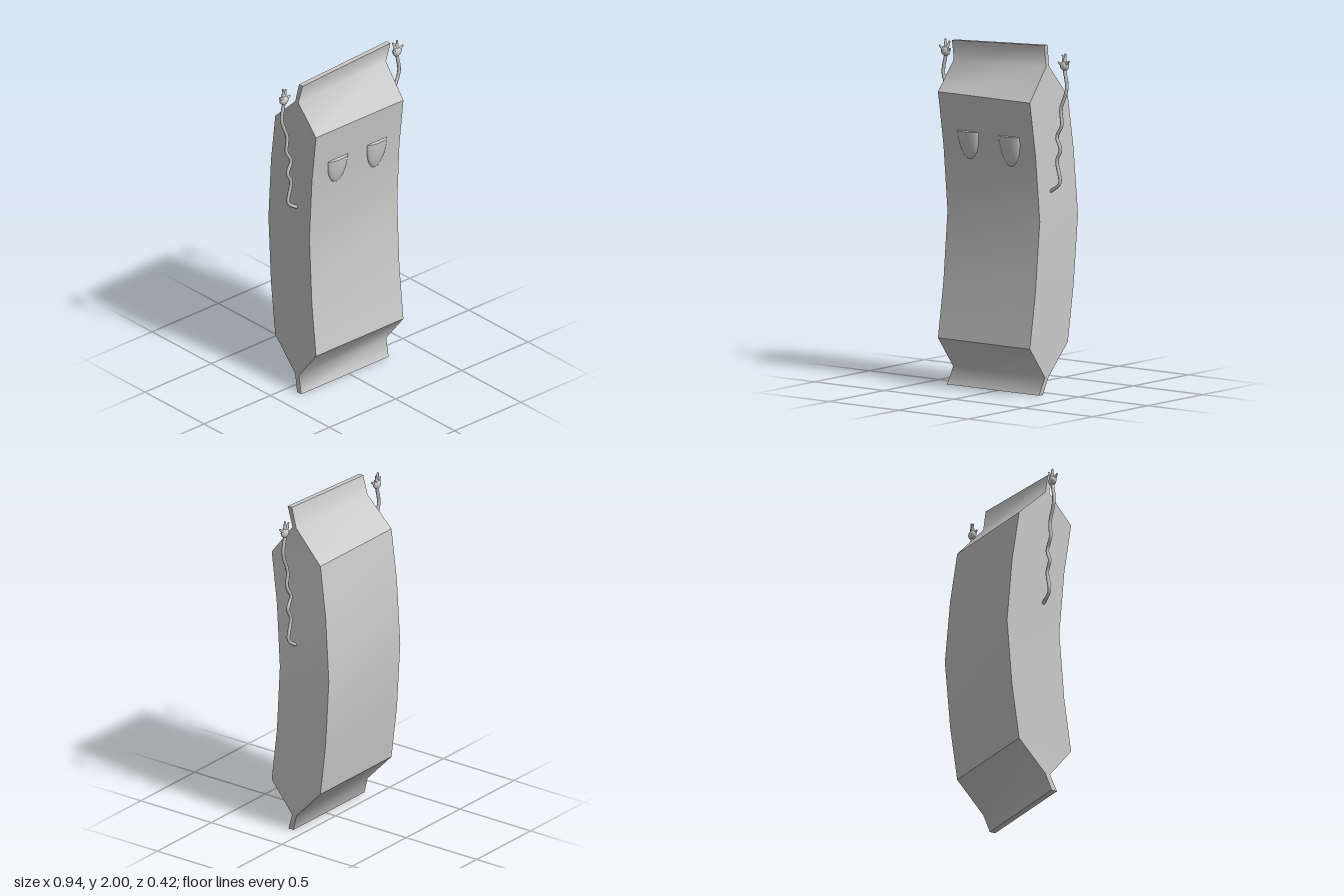
import * as THREE from 'three';

const mat = new THREE.MeshStandardMaterial({ color: 0xcccccc });

function add(parent, name, geo) {
  const mesh = new THREE.Mesh(geo, mat);
  mesh.name = name;
  parent.add(mesh);
  return mesh;
}

// Cross-sections, bottom to top: y at -x, y at +x, x left, x right, z front, z back
const ROWS = [
  [0, 0, -0.36, 0.3, 0.105, 0.07],
  [0.1, 0.1, -0.345, 0.315, 0.068, 0.037],
  [0.28, 0.28, -0.342, 0.318, 0.21, -0.135],
  [0.6, 0.6, -0.336, 0.325, 0.168, -0.178],
  [1, 1, -0.329, 0.334, 0.14, -0.207],
  [1.38, 1.38, -0.336, 0.325, 0.168, -0.178],
  [1.685, 1.685, -0.342, 0.318, 0.21, -0.135],
  [1.85, 1.875, -0.345, 0.318, 0.063, 0.037],
  [1.965, 2, -0.336, 0.327, 0.09, 0.06],
];
const FL = (r) => [r[2], r[0], r[4]];
const FR = (r) => [r[3], r[1], r[4]];
const BL = (r) => [r[2], r[0], r[5]];
const BR = (r) => [r[3], r[1], r[5]];

// Smooth ribbon through pairs of points, creased only at its borders
function ribbon(pairs) {
  const index = [];
  for (let i = 0; i < pairs.length - 1; i++) {
    const k = i * 2;
    index.push(k, k + 1, k + 3, k, k + 3, k + 2);
  }
  const geo = new THREE.BufferGeometry();
  geo.setAttribute('position', new THREE.Float32BufferAttribute(pairs.flat(2), 3));
  geo.setIndex(index);
  geo.computeVertexNormals();
  return geo;
}

function makeBody() {
  const body = new THREE.Group();
  body.name = 'packetBody';
  // lower seal, main panel and upper seal, front and back
  [['lowerSeal', 0, 2], ['panel', 2, 6], ['upperSeal', 6, 8]].forEach(([name, a, b]) => {
    const rows = ROWS.slice(a, b + 1);
    add(body, name + 'Front', ribbon(rows.map((r) => [FL(r), FR(r)])));
    add(body, name + 'Back', ribbon(rows.map((r) => [BR(r), BL(r)])));
  });
  add(body, 'leftSide', ribbon(ROWS.map((r) => [FR(r), BR(r)])));
  add(body, 'rightSide', ribbon(ROWS.map((r) => [BL(r), FL(r)])));
  const top = ROWS[ROWS.length - 1], base = ROWS[0];
  add(body, 'topEdge', ribbon([[FL(top), FR(top)], [BL(top), BR(top)]]));
  add(body, 'bottomEdge', ribbon([[BL(base), BR(base)], [FL(base), FR(base)]]));
  return body;
}

// Half-lidded eye: lower half of a flattened dome with a flat top
function makeEye(name, x, height) {
  const eye = new THREE.Group();
  eye.name = name;
  add(eye, 'eyeball', new THREE.SphereGeometry(1, 32, 12, 0, Math.PI * 2, Math.PI / 2, Math.PI / 2));
  add(eye, 'eyelid', new THREE.CircleGeometry(1, 32).rotateX(-Math.PI / 2));
  eye.scale.set(0.075, height, 0.025);
  eye.position.set(x, 1.475, 0.178);
  eye.rotation.x = 0.1;
  return eye;
}

// Wavy arm and small hand; s is the side (+1 left, -1 right)
function makeArm(name, s) {
  const arm = new THREE.Group();
  arm.name = name;
  const z = 0.033;
  const path = [
    [0.32, 1.16], [0.345, 1.172], [0.393, 1.215], [0.373, 1.34], [0.398, 1.405], [0.373, 1.475],
    [0.407, 1.545], [0.402, 1.635], [0.443, 1.76], [0.425, 1.87],
  ].map(([x, y]) => new THREE.Vector3(s * x, y, z));
  add(arm, 'armTube', new THREE.TubeGeometry(new THREE.CatmullRomCurve3(path), 80, 0.01, 8));
  const palm = add(arm, 'palm', new THREE.SphereGeometry(1, 16, 12));
  palm.scale.set(0.03, 0.028, 0.02);
  palm.position.set(s * 0.427, 1.886, z);

  // tapered fingers with rounded tips
  const root = new THREE.Vector3(s * 0.427, 1.884, z);
  [[0.464, 1.915, 0.04], [0.431, 1.953, 0.03], [0.406, 1.942, 0.024], [0.39, 1.903, 0.04]].forEach(([x, y, fz]) => {
    const tip = new THREE.Vector3(s * x, y, fz);
    const dir = tip.clone().sub(root);
    const finger = add(arm, 'finger', new THREE.CylinderGeometry(0.005, 0.015, dir.length(), 10));
    finger.position.copy(root).addScaledVector(dir, 0.5);
    finger.quaternion.setFromUnitVectors(new THREE.Vector3(0, 1, 0), dir.normalize());
    add(arm, 'fingertip', new THREE.SphereGeometry(0.0052, 10, 8)).position.copy(tip);
  });
  return arm;
}

export function createModel() {
  const model = new THREE.Group();
  model.name = 'packetFigure';
  model.add(
    makeBody(),
    makeEye('rightEye', -0.15, 0.16),
    makeEye('leftEye', 0.146, 0.175),
    makeArm('leftArm', 1),
    makeArm('rightArm', -1),
  );
  return model;
}
